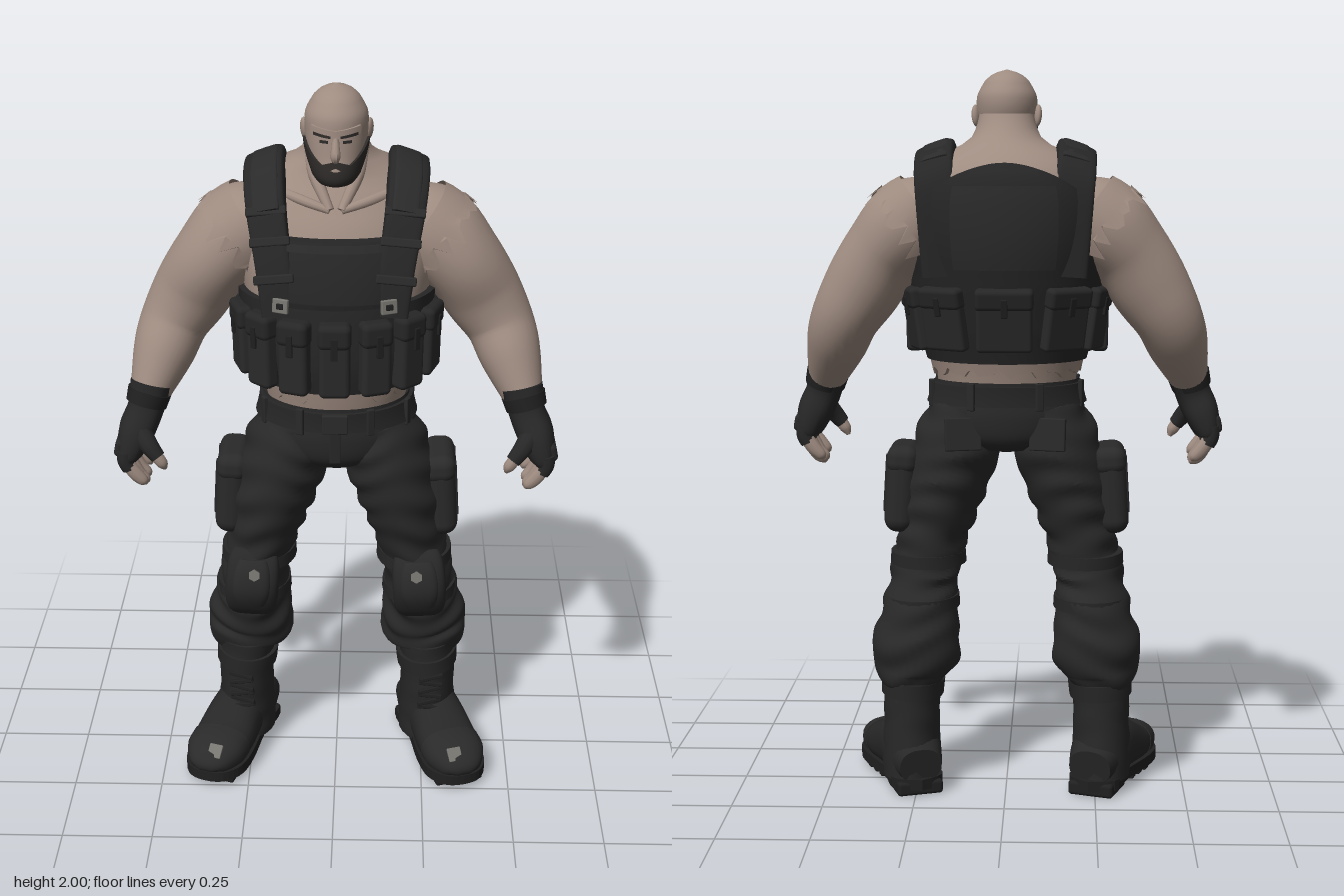
import * as THREE from 'three';
import { toCreasedNormals } from 'three/addons/utils/BufferGeometryUtils.js';
import { RoundedBoxGeometry } from 'three/addons/geometries/RoundedBoxGeometry.js';

const paint = (color) => new THREE.MeshStandardMaterial({ color });
const mats = {
  skin: paint(0x9f8c81), cloth: paint(0x292929), vest: paint(0x262627), pouch: paint(0x2a2a2b),
  leather: paint(0x272727), sole: paint(0x202020), beard: paint(0x2d2a28), metal: paint(0x77756f), frayed: paint(0x9d8a7f),
};
for (const k in mats) mats[k].name = k;
mats.frayed.side = THREE.DoubleSide;

// Smooth interpolation between rows of numbers
function sample(rows, u) {
  const i = Math.max(0, Math.min(rows.length - 2, Math.floor(u))), t = u - i;
  const [a, b, c, d] = [-1, 0, 1, 2].map((k) => rows[Math.max(0, Math.min(rows.length - 1, i + k))]);
  return b.map((v, k) => v + 0.5 * t * (c[k] - a[k] + t * (2 * a[k] - 5 * v + 4 * c[k] - d[k] + t * (3 * (v - c[k]) + d[k] - a[k]))));
}

// Surface from a grid of points
function grid(rows, cols, fn, crease = 0.7) {
  const pos = [], idx = [], w = cols + 1;
  for (let i = 0; i <= rows; i++) for (let j = 0; j <= cols; j++) pos.push(...fn(i, j));
  for (let i = 0; i < rows; i++) for (let j = 0; j < cols; j++) {
    const a = i * w + j;
    idx.push(a, a + 1, a + w, a + 1, a + w + 1, a + w);
  }
  let g = new THREE.BufferGeometry();
  g.setAttribute('position', new THREE.Float32BufferAttribute(pos, 3));
  g.setIndex(idx);
  g.scale(100, 100, 100);
  g = toCreasedNormals(g, crease);
  return g.scale(0.01, 0.01, 0.01);
}

// Closed tube through rows [x, y, z, radius, radius along ref]
function limb(rows, { ref = [0, 0, 1], pow = 1, wrinkle = 0, steps = 5, sides = 24 } = {}) {
  const n = (rows.length - 1) * steps, R = new THREE.Vector3(...ref);
  const at = (u) => new THREE.Vector3(...sample(rows, u).slice(0, 3));
  const sq = (v) => Math.sign(v) * Math.abs(v) ** pow;
  return grid(n + 2, sides, (i, j) => {
    const u = Math.max(0, Math.min(n, i - 1)) / steps, cap = i === 0 || i === n + 2 ? 0 : 1;
    const s = sample(rows, u), c = at(u);
    const t = at(Math.min(u + 0.05, rows.length - 1)).sub(at(Math.max(u - 0.05, 0))).normalize();
    const b = R.clone().addScaledVector(t, -R.dot(t)).normalize(), nn = b.clone().cross(t);
    const p = (j % sides) / sides * Math.PI * 2;
    const f = wrinkle * Math.sin(c.y * 75 + 2 * Math.sin(p * 2 + c.y * 9) + 1.5 * Math.cos(p)) * (0.6 + 0.4 * Math.sin(p * 3 + c.y * 14));
    return c.addScaledVector(nn, cap * sq(Math.cos(p)) * (s[3] + f)).addScaledVector(b, cap * sq(Math.sin(p)) * (s[4] + f)).toArray();
  });
}

// Slab hugging a body made of rows [y, z, half width, half depth]; angle 0 is the front
function bodyPoint(rows, th, y, off) {
  let i = 0;
  while (i < rows.length - 2 && y > rows[i + 1][0]) i++;
  const s = sample(rows, i + (y - rows[i][0]) / (rows[i + 1][0] - rows[i][0]));
  return [Math.sin(th) * (s[2] + off), y, s[1] + Math.cos(th) * (s[3] + off)];
}
function patch(rows, a0, a1, y0, y1, off = 0, thick = 0, nr = 14, nc = 34) {
  const val = (v, th) => (typeof v === 'function' ? v(th) : v);
  return grid(nr, nc, (i, j) => {
    const ii = Math.max(1, Math.min(nr - 1, i)), jj = Math.max(1, Math.min(nc - 1, j));
    const th = a0 + (a1 - a0) * (jj - 1) / (nc - 2);
    const lo = val(y0, th), hi = val(y1, th);
    return bodyPoint(rows, th, lo + (hi - lo) * (ii - 1) / (nr - 2), ii !== i || jj !== j ? off - thick : off);
  });
}

const torso = [[1.1, 0.015, 0.185, 0.16], [1.2, 0.015, 0.2, 0.18], [1.3, 0.008, 0.228, 0.202], [1.45, -0.013, 0.25, 0.216], [1.55, -0.032, 0.268, 0.213],
  [1.65, -0.052, 0.268, 0.192], [1.72, -0.065, 0.24, 0.164], [1.77, -0.06, 0.178, 0.128], [1.81, -0.03, 0.1, 0.096], [1.88, -0.008, 0.074, 0.072]];
const head = [[1.75, 0.085, 0.002, 0.002], [1.757, 0.083, 0.035, 0.042], [1.78, 0.068, 0.056, 0.068], [1.83, 0.04, 0.074, 0.088], [1.88, 0.024, 0.082, 0.099],
  [1.93, 0.02, 0.081, 0.098], [1.97, 0.018, 0.06, 0.073], [1.99, 0.016, 0.036, 0.043], [2, 0.015, 0.001, 0.001]];
const hips = [[0.95, 0.015, 0.002, 0.002], [0.965, 0.015, 0.1, 0.12], [1.0, 0.015, 0.19, 0.16], [1.06, 0.015, 0.218, 0.172], [1.12, 0.015, 0.206, 0.17], [1.16, 0.015, 0.2, 0.172]];

export function createModel() {
  const root = new THREE.Group();
  const add = (name, geo, mat) => {
    const m = new THREE.Mesh(geo, mats[mat]);
    m.name = name;
    root.add(m);
  };
  // Adds the left part and its mirrored right twin
  const pair = (name, geo, mat) => {
    const r = geo.index ? geo.toNonIndexed() : geo.clone();
    r.scale(-1, 1, 1);
    for (const key of ['position', 'normal']) {
      const a = r.attributes[key].array;
      for (let i = 0; i < a.length; i += 9) for (let k = 3; k < 6; k++) [a[i + k], a[i + k + 3]] = [a[i + k + 3], a[i + k]];
    }
    add(name + 'Left', geo, mat);
    add(name + 'Right', r, mat);
  };
  const place = (geo, p, r = [0, 0, 0]) => geo.applyMatrix4(new THREE.Matrix4().makeRotationFromEuler(new THREE.Euler(...r, 'YXZ')).setPosition(...p));
  const box = (w, h, d, p, r, round = 0.25) => place(new RoundedBoxGeometry(w, h, d, 3, Math.min(w, h, d) * round), p, r);
  const PI = Math.PI;

  // Head and face
  add('torso', patch(torso, -PI, PI, 1.1, 1.88, 0, 0, 40, 48), 'skin');
  add('head', patch(head, -PI, PI, 1.75, 2, 0, 0, 34, 40), 'skin');
  add('beard', patch(head, -1.55, 1.55, 1.754, (a) => 1.797 + 0.068 * Math.min(1, Math.abs(a) / 1.3) ** 1.6, 0.007, 0.012), 'beard');
  add('moustache', patch(head, -0.55, 0.55, (a) => 1.809 - 0.035 * Math.abs(a), (a) => 1.824 - 0.02 * Math.abs(a), 0.007, 0.012, 5, 14), 'beard');
  add('nose', limb([[0, 1.885, 0.118, 0.008, 0.01], [0, 1.86, 0.132, 0.011, 0.012], [0, 1.838, 0.138, 0.013, 0.016], [0, 1.828, 0.128, 0.006, 0.01]], { sides: 10 }), 'skin');
  add('browRidge', patch(head, -0.8, 0.8, (a) => 1.882 + 0.01 * Math.abs(a), (a) => 1.902 + 0.012 * Math.abs(a), 0.007, 0.014, 6, 20), 'skin');
  pair('eyebrow', patch(head, 0.14, 0.68, (a) => 1.882 + 0.01 * a, (a) => 1.888 + 0.012 * a, 0.009, 0.005, 4, 10), 'beard');
  pair('eye', patch(head, 0.24, 0.52, 1.869, 1.876, 0.002, 0.004, 4, 8), 'beard');
  pair('ear', place(new THREE.SphereGeometry(1, 16, 12).scale(0.011, 0.03, 0.018), [0.084, 1.876, -0.004], [0.1, -0.3, -0.1]), 'skin');
  pair('neckTendon', limb([[0.07, 1.83, 0.0, 0.016, 0.02], [0.055, 1.77, 0.06, 0.018, 0.018], [0.015, 1.69, 0.115, 0.012, 0.014]], { sides: 10 }), 'skin');
  pair('collarbone', limb([[0.015, 1.69, 0.116, 0.01, 0.01], [0.09, 1.71, 0.088, 0.014, 0.014], [0.2, 1.735, 0.015, 0.012, 0.012]], { sides: 10, ref: [0, 1, 0] }), 'skin');

  // Arms
  pair('arm', limb([[0.19, 1.62, -0.055, 0.1, 0.12], [0.262, 1.583, -0.052, 0.125, 0.135], [0.335, 1.507, -0.04, 0.112, 0.13], [0.394, 1.412, -0.045, 0.108, 0.109],
    [0.444, 1.328, -0.034, 0.094, 0.1], [0.474, 1.25, 0.012, 0.083, 0.092], [0.51, 1.15, 0.075, 0.052, 0.06]], { sides: 32 }), 'skin');
  pair('frayedSleeve', grid(3, 40, (i, j) => {
    const p = (j % 40) / 40 * PI * 2, jag = i === 3 ? 0.012 * ((j * 7) % 5) - 0.02 + (j % 2) * 0.016 : 0;
    const l = [-0.03, 0, 0.03, 0.045][i] + jag, k = [0.98, 1.03, 1.05, 1.08][i];
    const rn = 0.125 * k * Math.cos(p);
    return [0.235 + 0.77 * l + 0.62 * rn, 1.6 - 0.64 * l + 0.78 * rn, -0.052 + 0.137 * k * Math.sin(p)];
  }, 0.3), 'frayed');

  // Gloves and fingers
  pair('glove', limb([[0.503, 1.185, 0.066, 0.057, 0.068], [0.518, 1.12, 0.082, 0.05, 0.062], [0.543, 1.06, 0.09, 0.05, 0.082], [0.562, 1.0, 0.094, 0.036, 0.086], [0.56, 0.98, 0.094, 0.02, 0.07]], { pow: 0.8 }), 'leather');
  pair('gloveCuff', limb([[0.507, 1.165, 0.074, 0.06, 0.07], [0.517, 1.13, 0.082, 0.056, 0.067]], { steps: 2 }), 'sole');
  pair('knucklePad', box(0.03, 0.05, 0.14, [0.585, 1.025, 0.094], [0, 0, 0.2], 0.45), 'leather');
  for (let k = 0; k < 4; k++) {
    const z = 0.03 + k * 0.043, d = k % 3 ? 0 : 0.015;
    pair('gloveFinger' + k, limb([[0.568, 1.02, z, 0.026, 0.022], [0.57, 0.99, z, 0.023, 0.022], [0.56, 0.968, z, 0.021, 0.02]], { sides: 10 }), 'leather');
    pair('fingertip' + k, limb([[0.564, 0.98, z, 0.019, 0.019], [0.543, 0.937 + d, z, 0.02, 0.018], [0.523, 0.917 + d, z, 0.015, 0.014], [0.515, 0.908 + d, z, 0.004, 0.004]], { sides: 10 }), 'skin');
  }
  pair('gloveThumb', limb([[0.535, 1.08, 0.13, 0.03, 0.03], [0.505, 1.04, 0.16, 0.026, 0.026], [0.48, 1.008, 0.17, 0.021, 0.021]], { sides: 10 }), 'leather');
  pair('thumbTip', limb([[0.487, 1.015, 0.168, 0.017, 0.017], [0.47, 0.99, 0.168, 0.016, 0.016], [0.462, 0.972, 0.165, 0.005, 0.005]], { sides: 10 }), 'skin');

  // Vest shell, panels and shoulder straps
  add('vestBand', patch(torso, -PI, PI, 1.215, 1.455, 0.018, 0.035, 16, 50), 'vest');
  add('shirtHem', patch(torso, -PI, PI, (a) => 1.185 + 0.008 * Math.sin(a * 17) + 0.006 * Math.sin(a * 31), 1.23, 0.01, 0.01, 5, 90), 'frayed');
  add('chestPlate', patch(torso, -0.48, 0.48, 1.43, 1.625, 0.032, 0.045), 'vest');
  add('chestPanel', patch(torso, -0.82, 0.82, 1.42, (a) => 1.6 - 0.1 * Math.abs(a), 0.018, 0.03), 'vest');
  add('chestTrim', patch(torso, -0.46, 0.46, 1.6, 1.618, 0.038, 0.01, 4, 16), 'pouch');
  add('chestSeam', patch(torso, -0.46, 0.46, 1.46, 1.472, 0.037, 0.01, 4, 16), 'sole');
  add('backPanel', patch(torso, PI - 1.3, PI + 1.3, 1.43, (a) => 1.75 - 0.12 * (a - PI) ** 2, 0.02, 0.04), 'vest');
  add('backPlate', patch(torso, PI - 0.5, PI + 0.5, 1.47, 1.69, 0.027, 0.02), 'pouch');
  add('dragHandle', patch(torso, PI - 0.34, PI + 0.34, 1.71, 1.735, 0.032, 0.02, 6, 14), 'vest');
  const strapRef = [1, -0.35, 0];
  pair('shoulderStrap', limb([[0.148, 1.43, 0.196, 0.018, 0.042], [0.16, 1.56, 0.17, 0.02, 0.047], [0.18, 1.69, 0.108, 0.022, 0.052], [0.188, 1.76, 0.024, 0.025, 0.055], [0.188, 1.777, -0.06, 0.025, 0.055],
    [0.188, 1.745, -0.14, 0.024, 0.054], [0.184, 1.67, -0.186, 0.022, 0.053], [0.17, 1.45, -0.19, 0.02, 0.05]], { ref: strapRef, pow: 0.4 }), 'vest');
  pair('strapPad', limb([[0.179, 1.69, 0.13, 0.01, 0.036], [0.187, 1.768, 0.044, 0.014, 0.038], [0.187, 1.793, -0.06, 0.014, 0.038], [0.188, 1.755, -0.157, 0.01, 0.038]], { ref: strapRef, pow: 0.4 }), 'pouch');
  [[1.53, 0.196, -0.25], [1.62, 0.162, -0.42], [1.69, 0.126, -0.6]].forEach(([y, z, r], i) => pair('strapKeeper' + i, box(0.106, 0.024, 0.018, [0.158 + i * 0.011, y, z], [r, 0.12, -0.12]), 'pouch'));
  pair('strapBuckle', box(0.044, 0.038, 0.012, [0.14, 1.465, 0.217], [-0.1, 0.4, 0]), 'metal');
  pair('buckleInset', box(0.02, 0.016, 0.012, [0.1405, 1.465, 0.22], [-0.1, 0.4, 0]), 'sole');

  // Pouches around the waist, each with a flap and a pull tab
  const pouch = (name, th, w, h, d, y, tilt = 0.02) => {
    const one = (part, pw, ph, pd, dy, off, mat) => {
      const [x, , z] = bodyPoint(torso, th, 1.33, off + dy * tilt), yaw = Math.atan2(Math.sin(th) / 0.235, Math.cos(th) / 0.205);
      const g = box(pw, ph, pd, [x, y + dy, z], [tilt, yaw, 0], 0.3);
      th === 0 || th === PI ? add(name + part, g, mat) : pair(name + part, g, mat);
    };
    one('', w, h, d, 0, 0.025, 'pouch');
    one('Flap', w + 0.006, h * 0.34, d + 0.008, h * 0.34, 0.026, 'vest');
    one('Tab', 0.018, h * 0.3, 0.008, h * 0.2, 0.03 + d / 2, 'sole');
  };
  [0, 0.42, 0.84].forEach((th, i) => pouch('frontPouch' + i, th, 0.082, 0.205, 0.05, 1.322));
  pouch('sidePouch', 1.3, 0.1, 0.19, 0.045, 1.325);
  pouch('rearSidePouch', 1.88, 0.11, 0.17, 0.034, 1.33, 0.15);
  pouch('backPouch', PI, 0.15, 0.17, 0.036, 1.335, 0.2);
  pouch('backOuterPouch', PI - 0.68, 0.13, 0.17, 0.036, 1.335, 0.2);

  // Trousers and belt
  add('trouserSeat', patch(hips, -PI, PI, 0.95, 1.16, 0, 0, 24, 44), 'cloth');
  add('belt', patch(hips, -PI, PI, 1.095, 1.15, 0.01, 0.02, 6, 44), 'vest');
  add('beltBuckle', box(0.07, 0.055, 0.016, [0, 1.123, 0.198]), 'pouch');
  add('fly', box(0.03, 0.1, 0.012, [0, 1.05, 0.183], [0.1, 0, 0]), 'cloth');
  [0.45, 1.1, 1.9, 2.7].forEach((th, i) => pair('beltLoop' + i, box(0.022, 0.075, 0.012, bodyPoint(hips, th, 1.122, 0.012), [0, th, 0]), 'cloth'));
  pair('trouserLeg', limb([[0.105, 1.08, 0.015, 0.1, 0.15], [0.135, 0.98, 0.015, 0.12, 0.165], [0.175, 0.85, 0.017, 0.113, 0.156], [0.207, 0.72, 0.012, 0.096, 0.132], [0.232, 0.6, 0, 0.095, 0.122],
    [0.243, 0.5, -0.03, 0.107, 0.122], [0.253, 0.41, -0.045, 0.124, 0.12], [0.262, 0.345, -0.042, 0.11, 0.11], [0.262, 0.315, -0.038, 0.085, 0.1]], { wrinkle: 0.0065, steps: 10, sides: 36 }), 'cloth');
  pair('cargoPocket', box(0.085, 0.24, 0.18, [0.293, 0.85, 0.005], [0, 0, 0.06], 0.45), 'cloth');
  pair('cargoFlap', box(0.088, 0.08, 0.188, [0.287, 0.935, 0.005], [0, 0, 0.06], 0.4), 'pouch');
  for (const z of [-0.045, 0.055]) pair('cargoStrap', box(0.012, 0.16, 0.022, [0.332, 0.87, z], [0, 0, 0.06]), 'vest');
  pair('backPocket', box(0.1, 0.09, 0.015, [0.115, 1.02, -0.143], [0.1, 0.25, 0]), 'cloth');

  // Knee pads
  pair('kneePad', limb([[0.228, 0.69, 0.095, 0.06, 0.025], [0.231, 0.66, 0.113, 0.072, 0.04], [0.235, 0.6, 0.122, 0.075, 0.047], [0.238, 0.54, 0.105, 0.072, 0.042], [0.24, 0.505, 0.085, 0.058, 0.03]], { pow: 0.5 }), 'leather');
  pair('kneeCap', limb([[0.231, 0.672, 0.115, 0.042, 0.04], [0.233, 0.64, 0.125, 0.054, 0.048], [0.236, 0.595, 0.127, 0.057, 0.051], [0.238, 0.55, 0.115, 0.045, 0.044]], { pow: 0.5 }), 'pouch');
  pair('kneeMark', place(new THREE.CylinderGeometry(0.017, 0.017, 0.008, 6).rotateX(PI / 2), [0.226, 0.648, 0.172], [-0.2, 0, 0]), 'metal');
  [[0.221, 0.655, 0.005], [0.238, 0.535, -0.018]].forEach(([x, y, z], i) => pair('kneeStrap' + i, limb([[x, y + 0.017, z, 0.105, 0.131], [x, y - 0.017, z, 0.107, 0.131]], { steps: 2 }), 'vest'));

  // Boots, turned outward
  pair('bootShaft', limb([[0.262, 0.36, -0.032, 0.085, 0.11], [0.266, 0.28, -0.033, 0.08, 0.11], [0.268, 0.19, -0.035, 0.079, 0.112], [0.268, 0.1, -0.04, 0.082, 0.115], [0.268, 0.04, -0.04, 0.082, 0.115]], { wrinkle: 0.002 }), 'leather');
  pair('bootCuff', limb([[0.263, 0.315, -0.033, 0.09, 0.118], [0.266, 0.27, -0.033, 0.088, 0.117]], { steps: 2 }), 'vest');
  const boot = (name, geo, mat) => pair(name, place(geo, [0.272, 0, -0.04], [0, 0.33, 0]), mat);
  boot('bootFoot', limb([[0, 0.085, -0.115, 0.05, 0.06], [0, 0.1, -0.03, 0.075, 0.08], [0, 0.1, 0.07, 0.082, 0.08], [0, 0.08, 0.16, 0.062, 0.087], [0, 0.07, 0.24, 0.05, 0.082], [0, 0.058, 0.288, 0.032, 0.055], [0, 0.05, 0.305, 0.008, 0.02]], { ref: [1, 0, 0], pow: 0.85 }), 'leather');
  boot('toeCap', limb([[0, 0.077, 0.19, 0.06, 0.089], [0, 0.072, 0.24, 0.054, 0.085], [0, 0.06, 0.292, 0.033, 0.056], [0, 0.05, 0.309, 0.006, 0.02]], { ref: [1, 0, 0], pow: 0.85 }), 'pouch');
  boot('toeScuff', box(0.04, 0.008, 0.04, [-0.02, 0.104, 0.281], [0.78, 0, 0]), 'metal');
  const outline = new THREE.Shape(new THREE.SplineCurve([[0, 0.128], [0.07, 0.085], [0.07, -0.02], [0.092, -0.16], [0.085, -0.25], [0.04, -0.305], [-0.04, -0.305], [-0.085, -0.25], [-0.088, -0.16],
    [-0.068, -0.02], [-0.07, 0.085], [0, 0.128]].map((p) => new THREE.Vector2(...p))).getPoints(48));
  boot('bootSole', new THREE.ExtrudeGeometry(outline, { depth: 0.03, bevelEnabled: false }).rotateX(-PI / 2).translate(0, 0.018, 0), 'sole');
  boot('bootHeel', box(0.13, 0.04, 0.13, [0, 0.02, -0.05]), 'sole');
  for (let i = 0; i < 5; i++) boot('tread' + i, box(0.165 - 0.012 * Math.abs(i - 2), 0.025, 0.03, [0, 0.0125, 0.085 + i * 0.044]), 'sole');
  for (let i = 0; i < 6; i++) pair('lace' + i, box(0.07, 0.012, 0.014, [0.272 + 0.001 * i, 0.165 + i * 0.02, 0.078], [-0.1, 0.15, i % 2 ? 0.18 : -0.18]), 'sole');

  return root;
}
